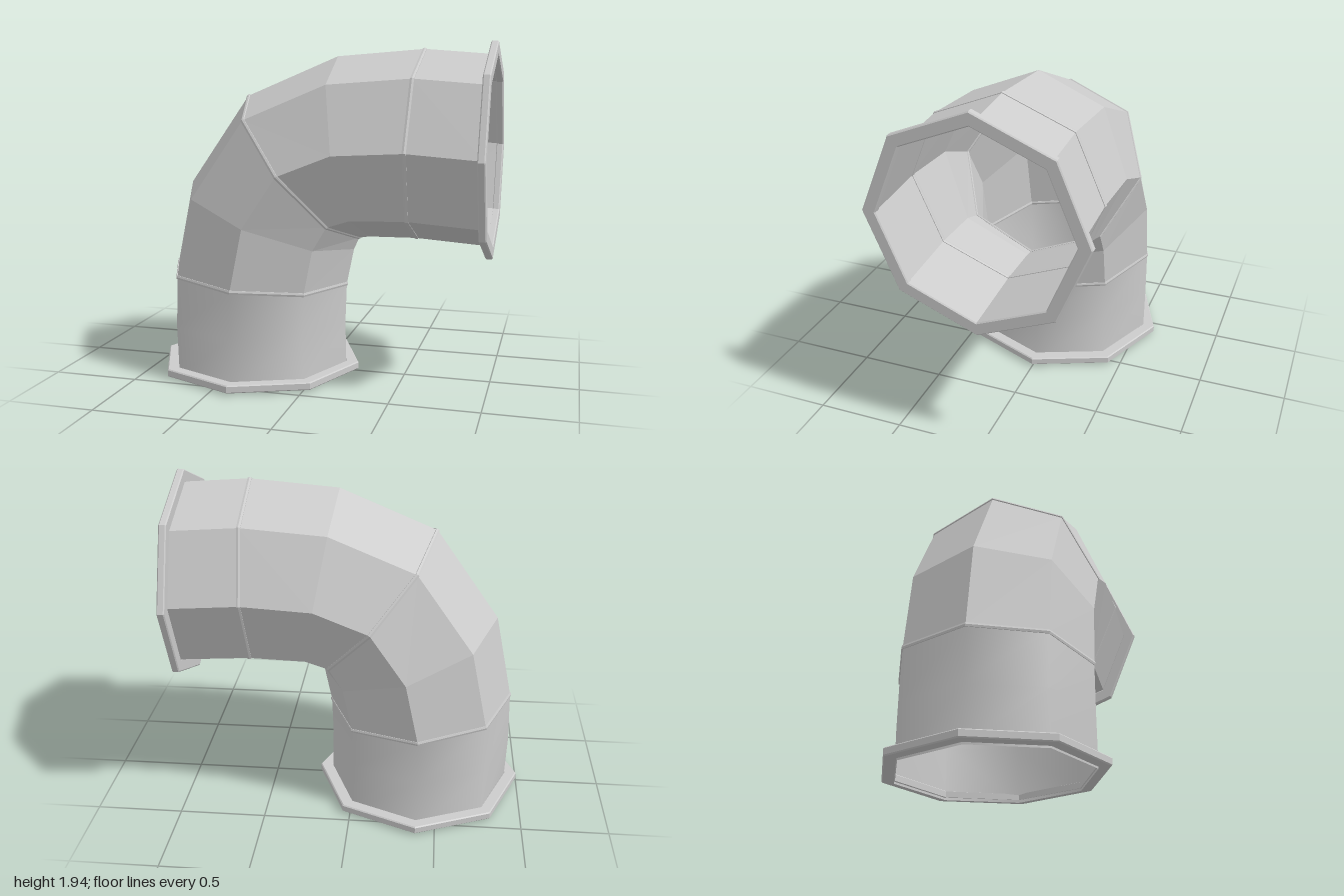
import * as THREE from 'three';

const SIDES = 8;
const WIDTH = 0.54; // half width of the pipe along z

// Each station of the bend: [outer x, outer y, inner x, inner y]
const BASE = [
  [-0.925, 0, 0.147, 0],
  [-0.935, 0.3, 0.14, 0.3],
  [-0.925, 0.61, 0.148, 0.53],
];
const BEND = [
  BASE[2],
  [-0.82, 1.11, 0.19, 0.74],
  [-0.456, 1.63, 0.222, 0.81],
  [0.09, 1.86, 0.28, 0.82],
  [0.59, 1.9, 0.56, 0.825],
  [0.985, 1.87, 0.985, 0.797],
];

// Centre, outward direction and radius of a station
function frame([ox, oy, ix, iy]) {
  const center = new THREE.Vector3((ox + ix) / 2, (oy + iy) / 2, 0);
  const u = new THREE.Vector3(ox, oy, 0).sub(center);
  const radius = u.length();
  return { center, u: u.normalize(), radius };
}

// Lay a geometry drawn in the xy plane across the pipe
function place(geometry, center, u) {
  const v = new THREE.Vector3(0, 0, 1);
  const w = new THREE.Vector3().crossVectors(u, v);
  return geometry.applyMatrix4(new THREE.Matrix4().makeBasis(u, v, w).setPosition(center));
}

// Octagonal skin through a row of stations
function pipe(stations) {
  const positions = [], index = [];
  stations.forEach((station, i) => {
    const { center, u, radius } = frame(station);
    for (let j = 0; j < SIDES; j++) {
      const a = (j / SIDES) * Math.PI * 2;
      const p = center.clone().addScaledVector(u, Math.cos(a) * radius);
      positions.push(p.x, p.y, Math.sin(a) * WIDTH);
      if (i === 0) continue;
      const k = (j + 1) % SIDES, lo = (i - 1) * SIDES, hi = i * SIDES;
      index.push(lo + j, lo + k, hi + k, lo + j, hi + k, hi + j);
    }
  });
  const geometry = new THREE.BufferGeometry();
  geometry.setAttribute('position', new THREE.Float32BufferAttribute(positions, 3));
  geometry.setIndex(index);
  geometry.computeVertexNormals();
  return geometry;
}

function octagon(radius, Type) {
  const points = [];
  for (let j = 0; j < SIDES; j++) {
    const a = (j / SIDES) * Math.PI * 2;
    points.push(new THREE.Vector2(Math.cos(a) * radius, Math.sin(a) * radius));
  }
  return new Type(points);
}

// Octagonal end plate with a lightly bevelled rim
function flange(thickness) {
  const bevel = 0.006;
  const shape = octagon(0.611, THREE.Shape);
  shape.holes.push(octagon(0.535, THREE.Path));
  return new THREE.ExtrudeGeometry(shape, {
    depth: thickness - 2 * bevel, bevelEnabled: true, bevelSegments: 1,
    bevelSize: bevel, bevelThickness: bevel, bevelOffset: -bevel,
  }).translate(0, 0, bevel);
}

export function createModel() {
  const group = new THREE.Group();
  const flat = new THREE.MeshStandardMaterial({ color: 0xcccccc, flatShading: true, side: THREE.DoubleSide });
  const smooth = new THREE.MeshStandardMaterial({ color: 0xcccccc, side: THREE.DoubleSide });
  const add = (name, geometry, material) => {
    const mesh = new THREE.Mesh(geometry, material);
    mesh.name = name;
    group.add(mesh);
  };

  // Pipe walls: softly shaded foot, faceted bend
  add('basePipe', pipe(BASE), smooth);
  add('bendPipe', pipe(BEND), flat);

  // Thin seams at the joints
  [['lowerSeam', BEND[0]], ['middleSeam', BEND[2]], ['upperSeam', BEND[4]]].forEach(([name, station]) => {
    const { center, u, radius } = frame(station);
    const ring = new THREE.TorusGeometry(1, 0.013, 6, SIDES);
    // Stretch the ring to the section while keeping the bead thickness
    ring.scale(radius, WIDTH, 1);
    add(name, place(ring, center, u), flat);
  });

  // End plates
  add('bottomFlange', place(flange(0.045), new THREE.Vector3(-0.389, 0.01, 0), new THREE.Vector3(-1, 0, 0)), flat);
  add('outletFlange', place(flange(0.042), new THREE.Vector3(0.955, 1.333, 0), new THREE.Vector3(0, 1, 0)), flat);

  return group;
}
